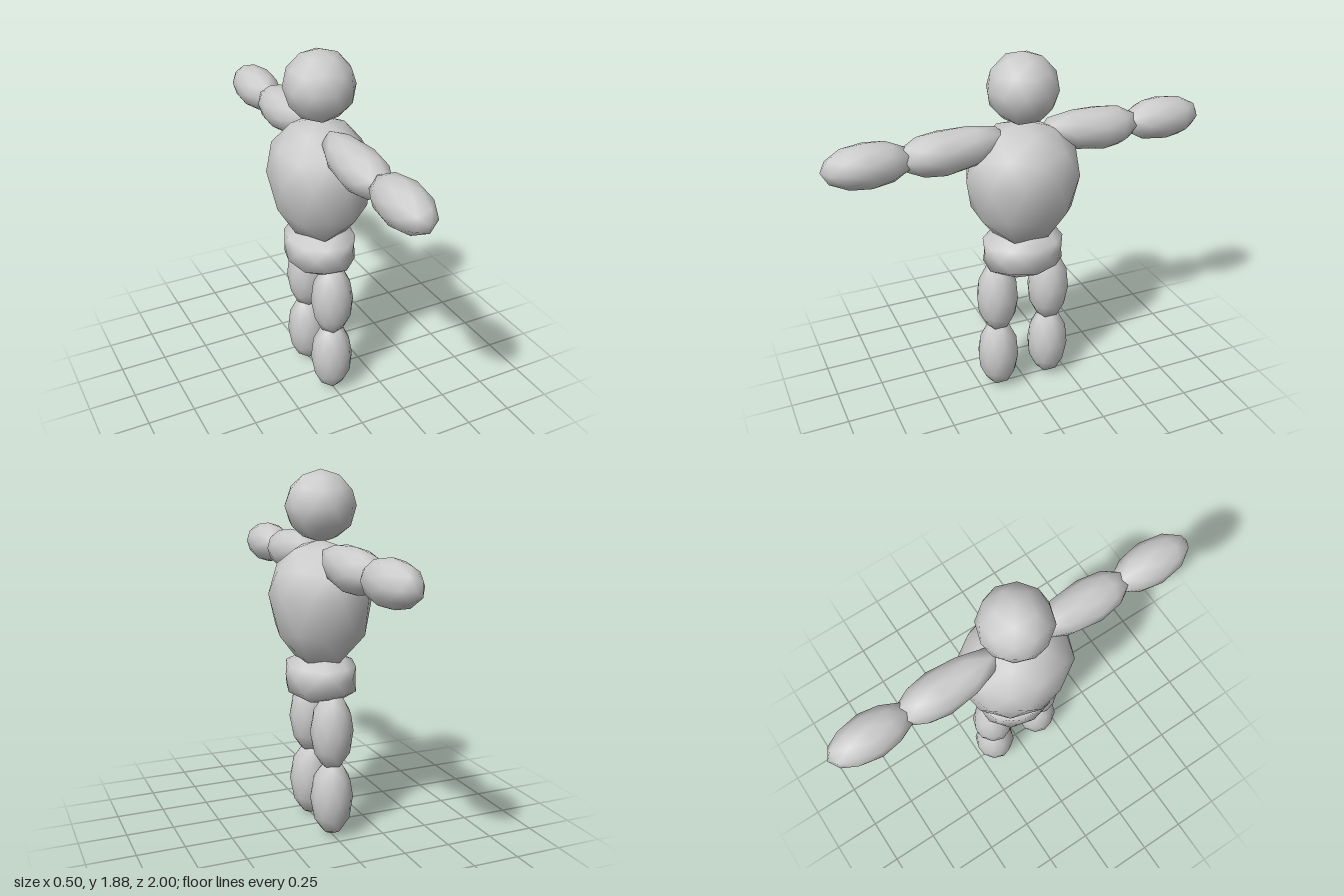
import * as THREE from 'three';
import { mergeVertices } from 'three/addons/utils/BufferGeometryUtils.js';

const material = new THREE.MeshStandardMaterial({ color: 0xcccccc });

// Low-poly ball with a vertex at each pole, reshaped by a rule applied to every vertex
function ball(rule) {
  const g = new THREE.IcosahedronGeometry(1, 1);
  g.rotateZ(-Math.atan(2 / (1 + Math.sqrt(5))));
  g.deleteAttribute('uv');
  g.deleteAttribute('normal');
  const geo = mergeVertices(g, 1e-3);
  const p = geo.attributes.position;
  const v = new THREE.Vector3();
  for (let i = 0; i < p.count; i++) {
    rule(v.fromBufferAttribute(p, i));
    p.setXYZ(i, v.x, v.y, v.z);
  }
  geo.computeVertexNormals();
  return geo;
}

// Egg with separate upper and lower lengths; bend shifts the lower tip sideways
const egg = (rx, up, down, rz, bend = 0) => ball((v) => {
  const shift = v.y < 0 ? bend * v.y * v.y : 0;
  v.set(v.x * rx, v.y * (v.y > 0 ? up : down), v.z * rz + shift);
});

export function createModel() {
  const model = new THREE.Group();
  model.name = 'figure';

  const add = (name, geometry, y, z = 0) => {
    const mesh = new THREE.Mesh(geometry, material);
    mesh.name = name;
    mesh.position.set(0, y, z);
    model.add(mesh);
    return mesh;
  };

  add('head', egg(0.18, 0.18, 0.18, 0.18), 1.7);
  add('torso', egg(0.262, 0.275, 0.39, 0.3), 1.26);

  // Pelvis: squat ball with its sides pushed out straight
  add('pelvis', ball((v) => {
    const r = Math.hypot(v.x, v.z);
    const k = r > 0.8 ? 1 / r : 1.15;
    v.set(v.x * k * 0.178, v.y * (v.y > 0 ? 0.125 : 0.145), v.z * k * 0.212);
  }), 0.835);

  // Arms reach out along z, legs stand side by side along z
  for (const s of [1, -1]) {
    const side = s > 0 ? 'front' : 'back';
    add(side + 'UpperArm', egg(0.112, 0.22, 0.33, 0.112, -s * 0.045), 1.433, s * 0.42)
      .rotation.x = s * Math.PI / 2;
    add(side + 'Forearm', egg(0.112, 0.22, 0.22, 0.112), 1.433, s * 0.78)
      .rotation.x = s * Math.PI / 2;
    add(side + 'Thigh', egg(0.112, 0.21, 0.21, 0.112), 0.57, s * 0.147);
    add(side + 'Shin', egg(0.112, 0.21, 0.21, 0.112), 0.21, s * 0.147);
  }

  return model;
}
